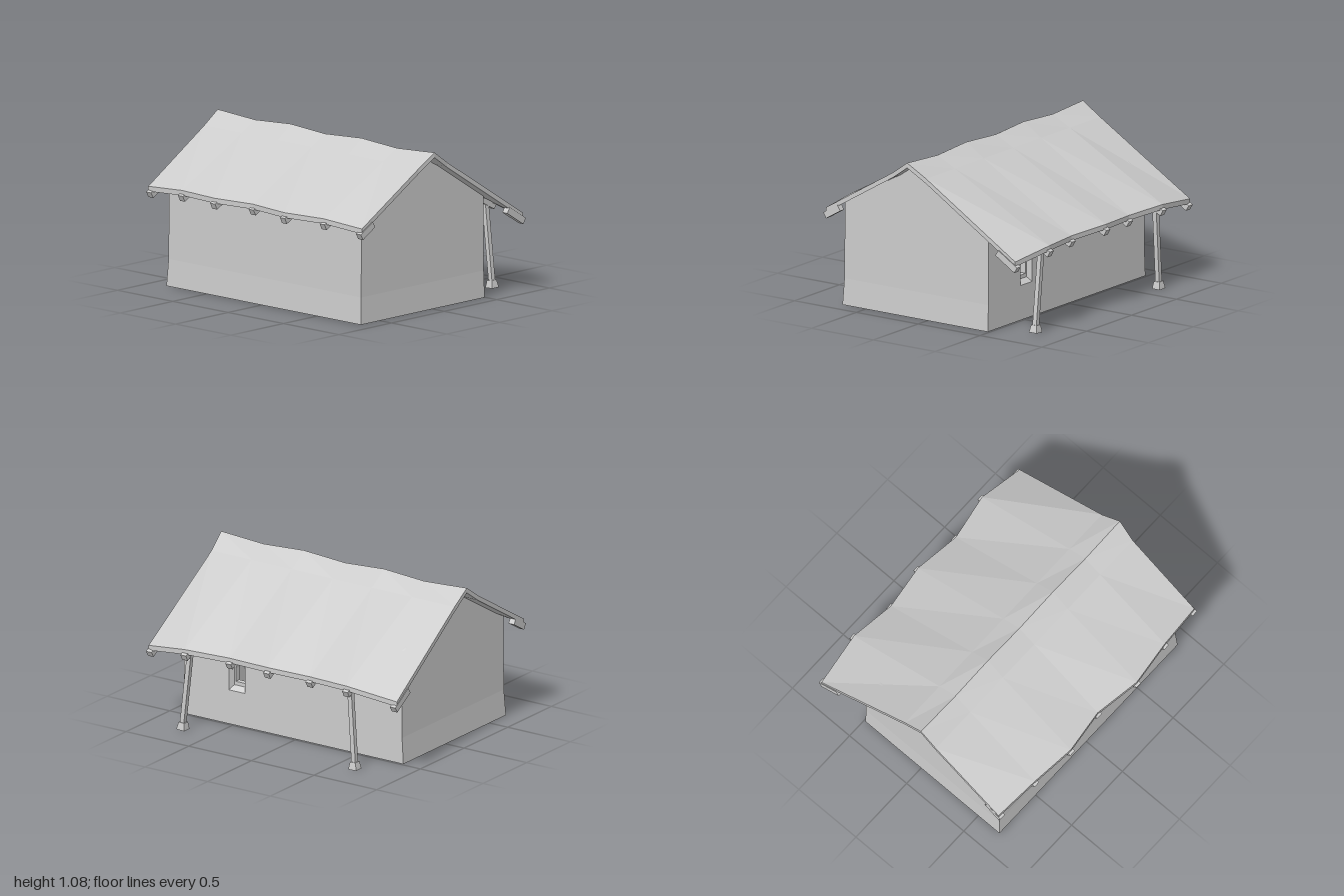
import * as THREE from 'three';

const grey = new THREE.MeshStandardMaterial({ color: 0xcccccc, flatShading: true, side: THREE.DoubleSide });
const V = (x, y, z) => new THREE.Vector3(x, y, z);

function add(parent, name, geometry) {
  const mesh = new THREE.Mesh(geometry, grey);
  mesh.name = name;
  parent.add(mesh);
  return mesh;
}

// flat polygons (corners counter-clockwise from outside) as one geometry
function polygons(faces) {
  const pts = [];
  for (const f of faces)
    for (let i = 1; i < f.length - 1; i++) pts.push(f[0], f[i], f[i + 1]);
  const g = new THREE.BufferGeometry().setFromPoints(pts);
  g.computeVertexNormals();
  return g;
}

// square bar from a to b
function bar(parent, name, a, b, w) {
  const mesh = add(parent, name, new THREE.BoxGeometry(w, w, a.distanceTo(b)));
  mesh.position.copy(a).lerp(b, 0.5);
  mesh.lookAt(b);
  return mesh;
}

// roof stations: z, left eave (x, y), ridge y, right eave (x, y)
const stations = [
  [0.98, -0.76, 0.665, 1.075, 0.77, 0.535],
  [0.66, -0.785, 0.69, 1.055, 0.815, 0.583],
  [0.34, -0.825, 0.69, 1.075, 0.76, 0.572],
  [0.01, -0.775, 0.69, 1.055, 0.80, 0.585],
  [-0.30, -0.815, 0.69, 1.075, 0.76, 0.572],
  [-0.62, -0.785, 0.69, 1.055, 0.80, 0.583],
  [-0.96, -0.76, 0.665, 1.075, 0.755, 0.535],
];
const RIDGE_X = -0.09, MID_L = -0.22, MID_R = 0.05, MID_Y = 0.985, THICK = 0.034;

function roof(parent) {
  const last = stations.length - 1;
  const rings = stations.map(([z, lx, ly, ry, rx, ryE], i) => {
    const ridgeZ = i === 0 ? 1 : z;
    const top = [
      V(lx, ly, i === last ? -0.95 : z), V(MID_L, MID_Y, z), V(RIDGE_X, ry, ridgeZ),
      V(MID_R, MID_Y, z), V(rx, ryE, i === last ? -0.99 : z),
    ];
    const under = top.map(p => V(p.x, p.y - THICK, p.z)).reverse();
    return [...top, ...under];
  });
  const faces = [];
  for (let i = 0; i < last; i++)
    for (let k = 0; k < 10; k++) {
      const n = (k + 1) % 10;
      faces.push([rings[i][k], rings[i][n], rings[i + 1][n], rings[i + 1][k]]);
    }
  // gable edges
  for (let k = 0; k < 4; k++) {
    const a = rings[0], b = rings[last];
    faces.push([a[k], a[9 - k], a[8 - k], a[k + 1]]);
    faces.push([b[k], b[k + 1], b[8 - k], b[9 - k]]);
  }
  add(parent, 'roof', polygons(faces));
}

// short rafters showing under both eaves
function rafters(parent) {
  const group = new THREE.Group();
  group.name = 'rafters';
  stations.forEach(([z, lx, ly, , rx, ryE], i) => {
    const end = i === 0 || i === stations.length - 1;
    const drop = THICK + 0.016;
    for (const [ex, ey, mx, s] of [[lx, ly, MID_L, -1], [rx, ryE, MID_R, 1]]) {
      const zz = i === 0 ? 0.965 : end ? (s > 0 ? -0.97 : -0.93) : z;
      const eave = V(ex, ey - drop, zz), mid = V(mx, MID_Y - drop, zz);
      const outer = eave.clone().lerp(mid, -0.012);
      const inner = eave.clone().lerp(mid, end ? 0.2 : 0.45);
      bar(group, 'rafter', outer, inner, 0.044);
    }
  });
  parent.add(group);
}

// arched outline in the plane of the right wall
function arch(path, u, y0, y1, half) {
  path.moveTo(u - half, y0);
  path.lineTo(u + half, y0);
  path.lineTo(u + half, y1);
  path.absarc(u, y1, half, 0, Math.PI, false);
  path.lineTo(u - half, y0);
  return path;
}

const rect = (T, u0, y0, u1, y1) =>
  new T([[u0, y0], [u1, y0], [u1, y1], [u0, y1]].map(p => new THREE.Vector2(...p)));

function walls(parent) {
  // front and back gables and the left wall, slightly flared at the foot
  const FL = [V(-0.685, 0, 0.9), V(-0.675, 0.18, 0.892), V(-0.67, 0.71, 0.892)];
  const FR = [V(0.49, 0, 0.9), V(0.49, 0.18, 0.892), V(0.49, 0.69, 0.892)];
  const BL = [V(-0.685, 0, -0.857), V(-0.675, 0.18, -0.847), V(-0.67, 0.71, -0.847)];
  const BR = [V(0.49, 0, -0.857), V(0.49, 0.18, -0.847), V(0.49, 0.69, -0.847)];
  const gable = (a, b) => [
    [a[0], b[0], b[1], a[1]],
    [a[1], b[1], b[2], V(RIDGE_X, 1.045, a[2].z), a[2]],
  ];
  add(parent, 'frontWall', polygons(gable(FL, FR)));
  add(parent, 'backWall', polygons(gable(BR, BL)));
  add(parent, 'leftWall', polygons([0, 1].map(i => [BL[i], FL[i], FL[i + 1], BL[i + 1]])));

  // right wall with an opening for the window niche (u = -z)
  const right = new THREE.Shape([...FR, ...[...BR].reverse()].map(p => new THREE.Vector2(-p.z, p.y)));
  const outer = [-0.535, 0.235, -0.405, 0.55], inner = [-0.515, 0.265, -0.42, 0.53];
  right.holes.push(rect(THREE.Path, ...outer));
  add(parent, 'rightWall', new THREE.ShapeGeometry(right).rotateY(Math.PI / 2)).position.x = 0.49;

  // splayed sides of the niche
  const corners = ([u0, y0, u1, y1], x) =>
    [V(x, y0, -u0), V(x, y0, -u1), V(x, y1, -u1), V(x, y1, -u0)];
  const a = corners(outer, 0.49), b = corners(inner, 0.455);
  add(parent, 'windowNiche', polygons(a.map((p, i) => [p, a[(i + 1) % 4], b[(i + 1) % 4], b[i]])));

  // panel with the arched opening
  const panel = rect(THREE.Shape, ...inner);
  panel.holes.push(arch(new THREE.Path(), -0.467, 0.29, 0.38, 0.037));
  const g = new THREE.ExtrudeGeometry(panel, { depth: 0.04, bevelEnabled: false, curveSegments: 6 });
  add(parent, 'archedWindow', g.rotateY(Math.PI / 2)).position.x = 0.415;
}

// leaning porch post on a flared foot
function post(parent, z0, z1) {
  const group = new THREE.Group();
  group.name = 'porchPost';
  bar(group, 'postShaft', V(0.748, 0.03, z0), V(0.748, 0.565, z1), 0.032);
  const foot = new THREE.Group();
  foot.name = 'postFoot';
  const tier = (r0, r1, h, y) => add(foot, 'footTier',
    new THREE.CylinderGeometry(r1 * Math.SQRT2, r0 * Math.SQRT2, h, 4).rotateY(Math.PI / 4)).position.y = y;
  tier(0.031, 0.029, 0.014, 0.007);
  tier(0.029, 0.022, 0.036, 0.032);
  foot.position.set(0.748, 0, z0);
  foot.rotation.x = Math.atan2(z1 - z0, 0.565) * 0.5;
  group.add(foot);
  parent.add(group);
}

export function createModel() {
  const model = new THREE.Group();
  model.name = 'house';
  walls(model);
  roof(model);
  rafters(model);
  post(model, 0.722, 0.66);
  post(model, -0.65, -0.615);
  return model;
}
